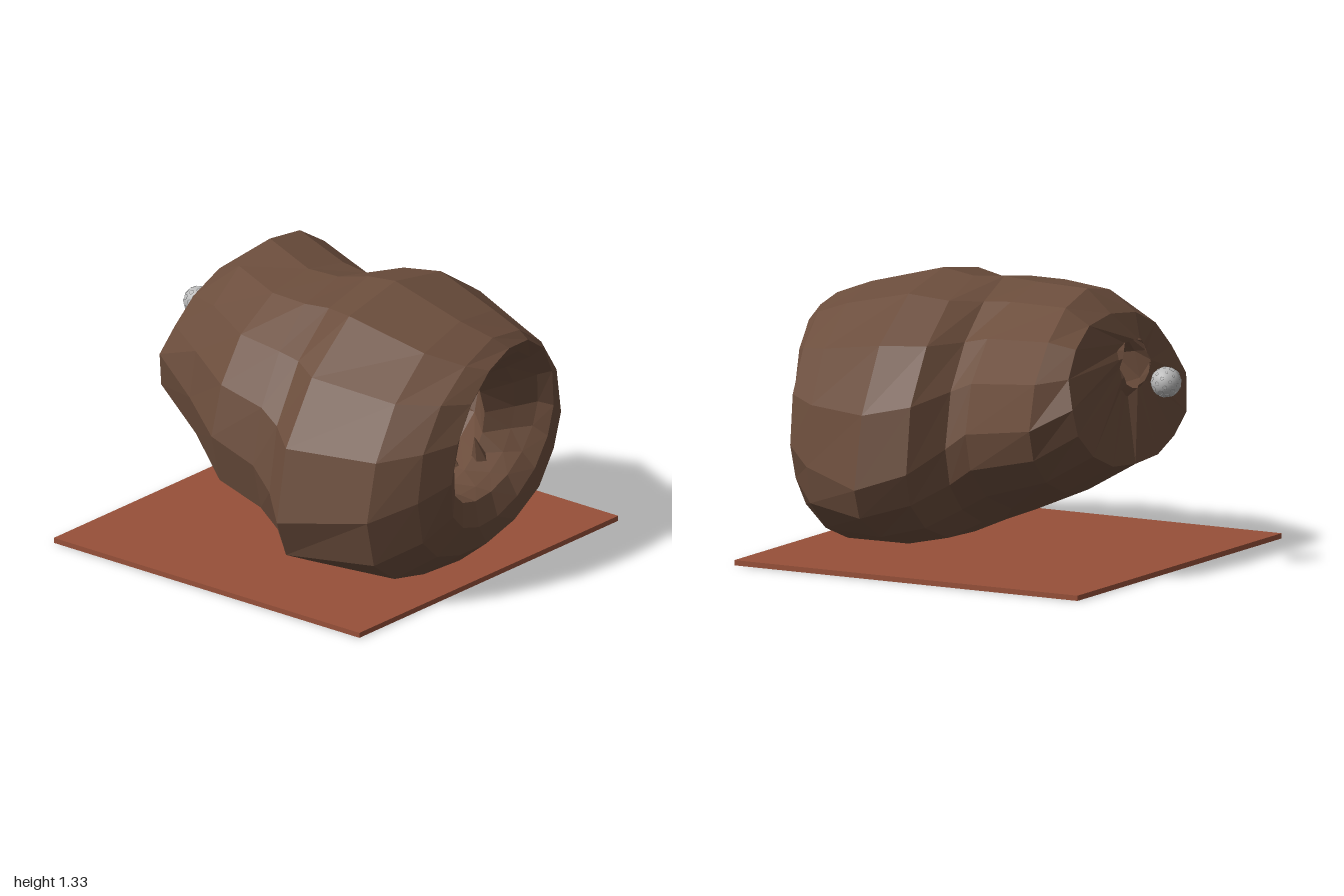
import * as THREE from 'three';

const SIDES = 16;

const rockMat = new THREE.MeshStandardMaterial({ color: 0x6b4d3c, flatShading: true, side: THREE.DoubleSide });
rockMat.name = 'brown rock';
const serpentMat = new THREE.MeshStandardMaterial({ color: 0x6b4b3a });
serpentMat.name = 'serpent brown';
const groundMat = new THREE.MeshStandardMaterial({ color: 0x975039 });
groundMat.name = 'red clay';
const shardMat = new THREE.MeshStandardMaterial({ color: 0xa4523e, flatShading: true });
shardMat.name = 'red shard';
const moonMat = new THREE.MeshStandardMaterial({ color: 0xbababa });
moonMat.name = 'pale grey';
const craterMat = new THREE.MeshStandardMaterial({ color: 0x858585 });
craterMat.name = 'crater grey';

function add(parent, name, geometry, material, x = 0, y = 0, z = 0) {
  const mesh = new THREE.Mesh(geometry, material);
  mesh.name = name;
  mesh.position.set(x, y, z);
  parent.add(mesh);
  return mesh;
}

// Small seeded generator in -1..1
function seeded(seed) {
  let s = seed;
  return () => {
    s = (s * 16807) % 2147483647;
    return (s / 2147483647) * 2 - 1;
  };
}

// Skin through uneven oval rings, squarer at the lower left: z, z-slope in x, z-slope in y,
// left, right, bottom, top, height of widest point, roughness, upper-right dent
function skin(rings, seed) {
  const rnd = seeded(seed);
  const pos = [];
  const index = [];
  rings.forEach(([z, sx, sy, xl, xr, yb, yt, yw, rough, dent = 0], r) => {
    const cx = (xl + xr) / 2;
    for (let i = 0; i < SIDES; i++) {
      const a = (i / SIDES) * Math.PI * 2;
      const s = Math.sin(a), c = Math.cos(a);
      const k = 1 + rnd() * rough - dent * Math.max(0, Math.cos(a - 0.8)) ** 4;
      const x = cx + c * ((xr - xl) / 2) * k;
      const y = yw + (s > 0 ? s * (yt - yw) : -(Math.abs(s) ** (0.85 + 0.15 * c)) * (yw - yb)) * k;
      pos.push(x, y, z + sx * (x - cx) + sy * (y - yw) + rnd() * rough * 0.5);
      if (r > 0) {
        const j = (i + 1) % SIDES, p = (r - 1) * SIDES, q = r * SIDES;
        index.push(p + i, q + j, q + i, p + i, p + j, q + j);
      }
    }
  });
  const g = new THREE.BufferGeometry();
  g.setAttribute('position', new THREE.Float32BufferAttribute(pos, 3));
  g.setIndex(index);
  const flat = g.toNonIndexed();
  flat.computeVertexNormals();
  return flat;
}

export function createModel() {
  const model = new THREE.Group();
  model.name = 'caveDiorama';

  // Ground slab
  add(model, 'groundSlab', new THREE.BoxGeometry(1.9, 0.025, 1.86), groundMat, -0.02, 0.0125, -0.02);

  const cave = new THREE.Group();
  cave.name = 'cave';
  model.add(cave);

  // Shared edges of the cave mouth and the rear skylight
  const lip = [0.80, -0.27, 0.1, -0.29, 0.62, 0.35, 1.04, 0.64, 0];
  const skylight = [-0.725, 0, 0.05, -0.12, 0.15, 0.85, 1.08, 0.965, 0.03];

  // Outer rock, from mouth to skylight
  add(cave, 'outerRock', skin([
    lip,
    [0.865, -0.25, 0.08, -0.40, 0.67, 0.25, 1.12, 0.62, 0.005],
    [0.83, -0.17, 0.03, -0.58, 0.74, 0.13, 1.17, 0.56, 0.01],
    [0.69, -0.13, 0, -0.77, 0.83, 0.025, 1.23, 0.48, 0.015],
    [0.30, -0.06, 0, -0.91, 0.97, 0.05, 1.335, 0.42, 0.012],
    [0.12, -0.12, 0, -0.80, 0.88, 0.09, 1.325, 0.50, 0.015, 0.02],
    [0.01, -0.13, 0, -0.77, 0.68, 0.15, 1.315, 0.60, 0.01, 0.06],
    [-0.17, -0.02, 0, -0.76, 0.68, 0.22, 1.31, 0.68, 0.015, 0.05],
    [-0.52, -0.12, 0, -0.59, 0.78, 0.36, 1.31, 0.75, 0.015],
    [-0.74, -0.03, 0.2, -0.44, 0.68, 0.51, 1.21, 0.85, 0.03],
    skylight,
  ], 17), rockMat);

  // Inner cavern, from mouth through the throat to the skylight
  add(cave, 'innerCavern', skin([
    lip,
    [0.72, -0.25, 0.05, -0.27, 0.52, 0.37, 0.98, 0.63, 0.01],
    [0.60, -0.2, 0, -0.24, 0.39, 0.38, 0.915, 0.62, 0.015],
    [0.40, -0.1, 0, -0.46, 0.58, 0.36, 1.06, 0.64, 0.03],
    [0.05, 0, 0, -0.58, 0.50, 0.36, 1.13, 0.68, 0.03],
    [-0.30, 0, 0, -0.55, 0.52, 0.42, 1.15, 0.74, 0.03],
    [-0.56, -0.06, 0.1, -0.38, 0.56, 0.54, 1.15, 0.82, 0.03],
    skylight,
  ], 91), rockMat);

  // Cavern floor
  const floor = new THREE.CylinderGeometry(0.42, 0.38, 0.04, 10);
  floor.scale(1, 1, 1.1);
  add(cave, 'cavernFloor', floor, rockMat, 0.02, 0.368, 0.08);

  // Serpent: coiled on the floor, neck raised towards the skylight
  const spine = [
    [0.15, 0.46, 0.16], [0.12, 0.51, 0.06], [0.0, 0.48, 0.10], [-0.1, 0.45, 0.22], [-0.18, 0.47, 0.18],
    [-0.2, 0.53, 0.02], [-0.12, 0.59, -0.08], [-0.05, 0.65, -0.1], [-0.04, 0.77, -0.1], [-0.04, 0.86, -0.07],
    [-0.03, 0.92, 0.0],
  ].map((p) => new THREE.Vector3(...p));
  const serpent = new THREE.Group();
  serpent.name = 'serpent';
  model.add(serpent);
  const path = new THREE.CatmullRomCurve3(spine);
  add(serpent, 'serpentBody', new THREE.TubeGeometry(path, 64, 0.032, 10), serpentMat);
  const head = add(serpent, 'serpentHead', new THREE.SphereGeometry(0.042, 12, 8), serpentMat, -0.03, 0.92, 0.02);
  head.scale.set(1, 0.75, 1.4);
  add(serpent, 'serpentTail', new THREE.SphereGeometry(0.032, 10, 8), serpentMat, 0.15, 0.46, 0.16);

  // Rubble heap along the back wall: x, y, z, size
  const boulders = [
    [0.02, 0.55, -0.36, 0.2], [0.26, 0.56, -0.34, 0.18], [-0.2, 0.53, -0.3, 0.16],
    [0.14, 0.68, -0.48, 0.16], [0.38, 0.48, -0.05, 0.13], [-0.36, 0.45, 0.02, 0.13],
  ];
  boulders.forEach(([x, y, z, r], i) => {
    const boulder = add(cave, 'boulder', new THREE.DodecahedronGeometry(r), rockMat, x, y, z);
    boulder.scale.set(1, 0.8, 0.8);
    boulder.rotation.set(i, i * 2, 0.4);
  });

  // Pointed rocks: x, foot height, z, radius, height
  const spikes = [
    [0.30, 0.36, 0.58, 0.06, 0.19], [0.38, 0.39, 0.56, 0.045, 0.11], [0.22, 0.37, 0.50, 0.03, 0.08],
    [-0.14, 0.39, 0.62, 0.03, 0.09], [-0.02, 0.37, 0.55, 0.022, 0.06], [0.30, 0.52, 0.0, 0.06, 0.2],
    [0.22, 0.60, -0.22, 0.07, 0.2], [0.08, 0.64, -0.30, 0.09, 0.18], [-0.14, 0.60, -0.32, 0.07, 0.2],
    [0.13, 0.62, -0.18, 0.04, 0.14],
  ];
  spikes.forEach(([x, y, z, r, h], i) => {
    const spike = add(cave, 'pointedRock', new THREE.ConeGeometry(r, h, 5), rockMat, x, y + h / 2, z);
    spike.rotation.set(0.1 * Math.sin(i * 3), i * 1.3, 0.3 * Math.cos(i * 2));
  });

  // Stalactites under the roof
  for (let i = 0; i < 6; i++) {
    const a = i * 1.05 + 0.4;
    const fang = add(cave, 'stalactite', new THREE.ConeGeometry(0.04, 0.18, 5), rockMat,
      0.02 + 0.25 * Math.cos(a), 1.0, -0.05 + 0.24 * Math.sin(a));
    fang.rotation.x = Math.PI;
  }

  // Loose flat stones and red shards on the floor
  for (let i = 0; i < 12; i++) {
    const a = i * 2.4, r = 0.1 + 0.02 * i;
    const red = i % 3 === 0;
    const stone = add(cave, red ? 'redShard' : 'looseStone', new THREE.OctahedronGeometry(red ? 0.04 : 0.05),
      red ? shardMat : rockMat, 0.05 + r * Math.cos(a), 0.397, 0.14 + r * Math.sin(a));
    stone.scale.set(1, 0.45, 0.7);
    stone.rotation.y = a;
  }

  // Moon floating behind the skylight
  const moon = new THREE.Group();
  moon.name = 'moon';
  moon.position.set(0.065, 0.905, -0.927);
  model.add(moon);
  const R = 0.071;
  add(moon, 'moonBall', new THREE.SphereGeometry(R, 28, 20), moonMat);

  // Craters: evenly spread thin discs with raised rims
  const count = 44;
  for (let i = 0; i < count; i++) {
    const y = 1 - (2 * (i + 0.5)) / count;
    const a = i * 2.39996;
    const s = Math.sqrt(1 - y * y);
    const dir = new THREE.Vector3(s * Math.cos(a), y, s * Math.sin(a));
    const size = 0.006 + 0.008 * ((i * 7) % 5) / 4;
    const crater = new THREE.Group();
    crater.name = 'crater';
    crater.position.copy(dir).multiplyScalar(R);
    crater.quaternion.setFromUnitVectors(new THREE.Vector3(0, 0, 1), dir);
    moon.add(crater);
    add(crater, 'craterRim', new THREE.TorusGeometry(size, 0.0011, 5, 14), craterMat);
    add(crater, 'craterFloor', new THREE.CircleGeometry(size * 0.9, 14), moonMat, 0, 0, 0.0004);
  }
  return model;
}
